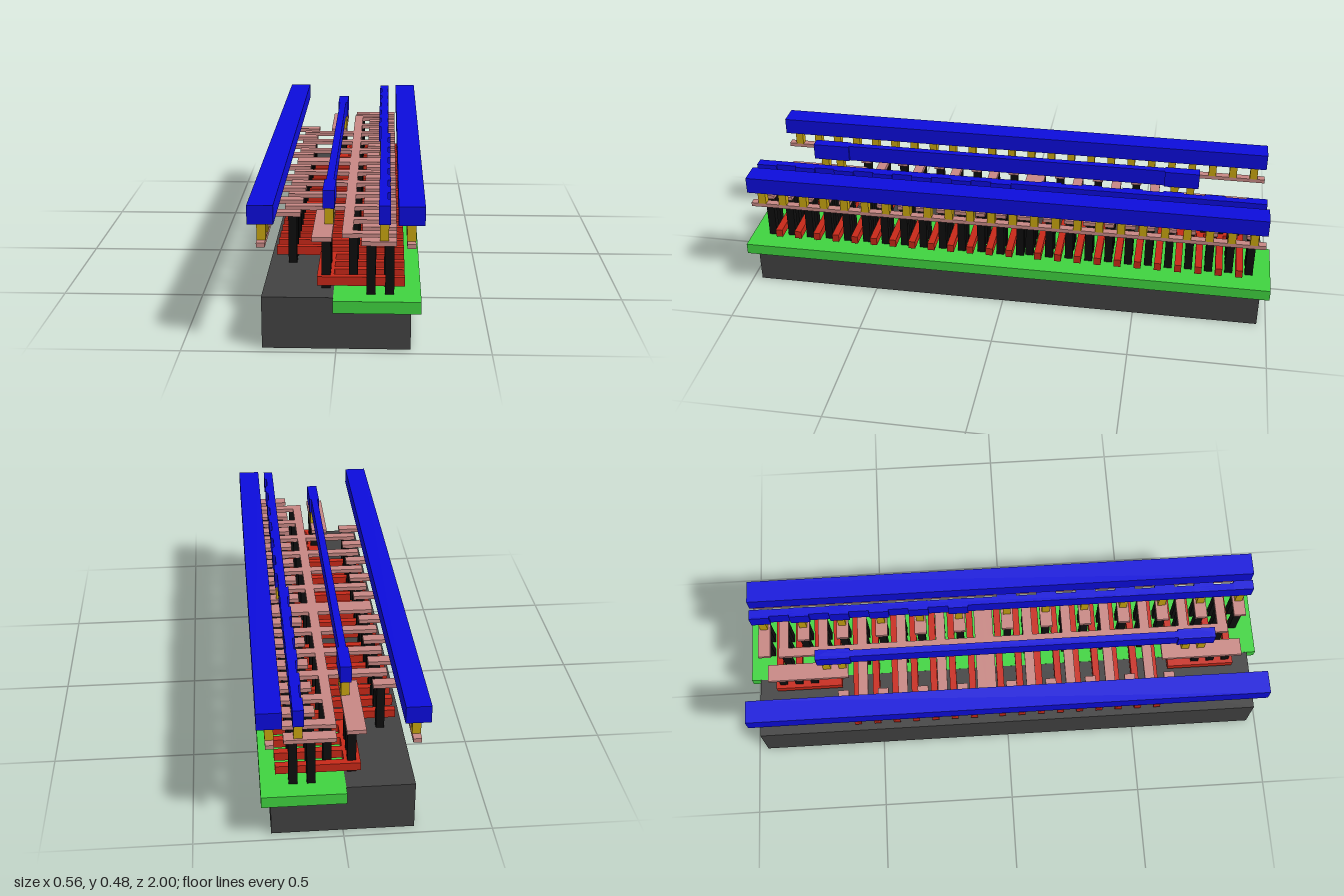
import * as THREE from 'three';

export function createModel() {
  const model = new THREE.Group();
  const mat = (color) => new THREE.MeshStandardMaterial({ color, flatShading: true });
  const materials = {
    substrate: mat(0x424242), well: mat(0x40d440), gate: mat(0xc82818), contact: mat(0x0e0e0e),
    metal: mat(0xc88884), via: mat(0xc8a410), rail: mat(0x0c0cdc),
  };
  // bottom and top height of each layer
  const heights = {
    substrate: [0, 0.175], well: [0.135, 0.176], gate: [0.19, 0.22], contact: [0.175, 0.343],
    metal: [0.342, 0.357], via: [0.357, 0.418], rail: [0.418, 0.48],
  };

  // box of a layer between x0..x1 and z0..z1
  function slab(layer, name, x0, x1, z0, z1) {
    const [y0, y1] = heights[layer];
    const mesh = new THREE.Mesh(new THREE.BoxGeometry(x1 - x0, y1 - y0, z1 - z0), materials[layer]);
    mesh.position.set((x0 + x1) / 2, (y0 + y1) / 2, (z0 + z1) / 2);
    mesh.name = name;
    model.add(mesh);
  }
  const bar = (layer, name, x0, x1, z, width) => slab(layer, name, x0, x1, z - width / 2, z + width / 2);
  const post = (layer, name, x, z, s = 0.029) => bar(layer, name, x - s / 2, x + s / 2, z, s);

  // base
  slab('substrate', 'substrate', -0.24, 0.24, -0.966, 0.966);
  slab('well', 'well', -0.01, 0.272, -1, 1);

  // outer rails with their strips and vias
  for (const s of [-1, 1]) {
    const x = 0.239 * s;
    slab('rail', 'outerRail', x - 0.042, x + 0.042, -0.966, 0.966);
    slab('metal', 'outerStrip', x - 0.014, x + 0.014, -0.966, 0.966);
    for (let i = 0; i < 24; i++) post('via', 'outerVia', x, -0.922 + i * 0.0802);
  }

  // two banks of fingers, counted inward from each end
  const pitch = 0.0752;
  for (const { side, count, shift } of [
    { side: 1, count: 13, shift: 0.004 },
    { side: -1, count: 11, shift: -0.004 },
  ]) {
    for (let k = 0; k <= count; k++) {
      const z = side * (0.92 - k * pitch);
      const source = k % 2 === 0;
      const hasLeft = k >= 4;

      // gate between this finger and the next
      if (k < count) {
        bar('gate', 'gate', hasLeft ? -0.22 : -0.065, 0.22, z - side * pitch / 2, 0.026);
      }

      // contacts
      const columns = source ? [0.107, 0.167] : [0.048, 0.107, 0.163];
      for (const x of columns) post('contact', 'contact', x + shift, z);
      if (hasLeft) post('contact', 'leftContact', -0.162, z);

      // metal fingers
      if (source) {
        bar('metal', 'sourceFinger', k === 0 && side < 0 ? 0.02 : 0.08, 0.193, z, 0.046);
        post('via', 'stripVia', 0.149 + shift, z);
        bar('rail', 'stripPad', 0.1495 + shift - 0.0185, 0.1495 + shift + 0.0185, z, 0.075);
        if (hasLeft) bar('metal', 'leftTab', -0.24, -0.134, z, 0.04);
      } else {
        bar('metal', 'drainFinger', hasLeft ? -0.193 : 0.015, 0.193, z, 0.036);
      }
    }

    // gate strap, input bar and its contacts at each end
    const [za, zb] = side > 0 ? [0.64, 0.895] : [-0.895, -0.64];
    slab('gate', 'gateStrap', -0.065, -0.01, za, zb);
    const [ma, mb] = side > 0 ? [0.6, 0.905] : [-0.905, -0.6];
    slab('metal', 'inputBar', -0.081, -0.016, ma, mb);
    for (const d of [0.745, 0.805, 0.865]) post('contact', 'inputContact', -0.036, side * d);
  }

  // join of the two banks and the long output column
  bar('metal', 'middleFinger', -0.193, 0.05, -0.076, 0.07);
  slab('metal', 'outputColumn', 0.015, 0.05, -0.865, 0.865);

  // right strip over the source fingers
  slab('rail', 'rightStrip', 0.135, 0.163, -0.955, 0.955);

  // centre strip with wider ends
  slab('rail', 'centreStrip', -0.045, -0.019, -0.7, 0.78);
  slab('rail', 'centreStripEnd', -0.051, -0.011, -0.71, -0.58);
  slab('rail', 'centreStripEnd', -0.051, -0.011, 0.65, 0.79);
  for (const z of [-0.68, -0.62, 0.69, 0.75]) post('via', 'centreVia', -0.031, z);

  return model;
}
